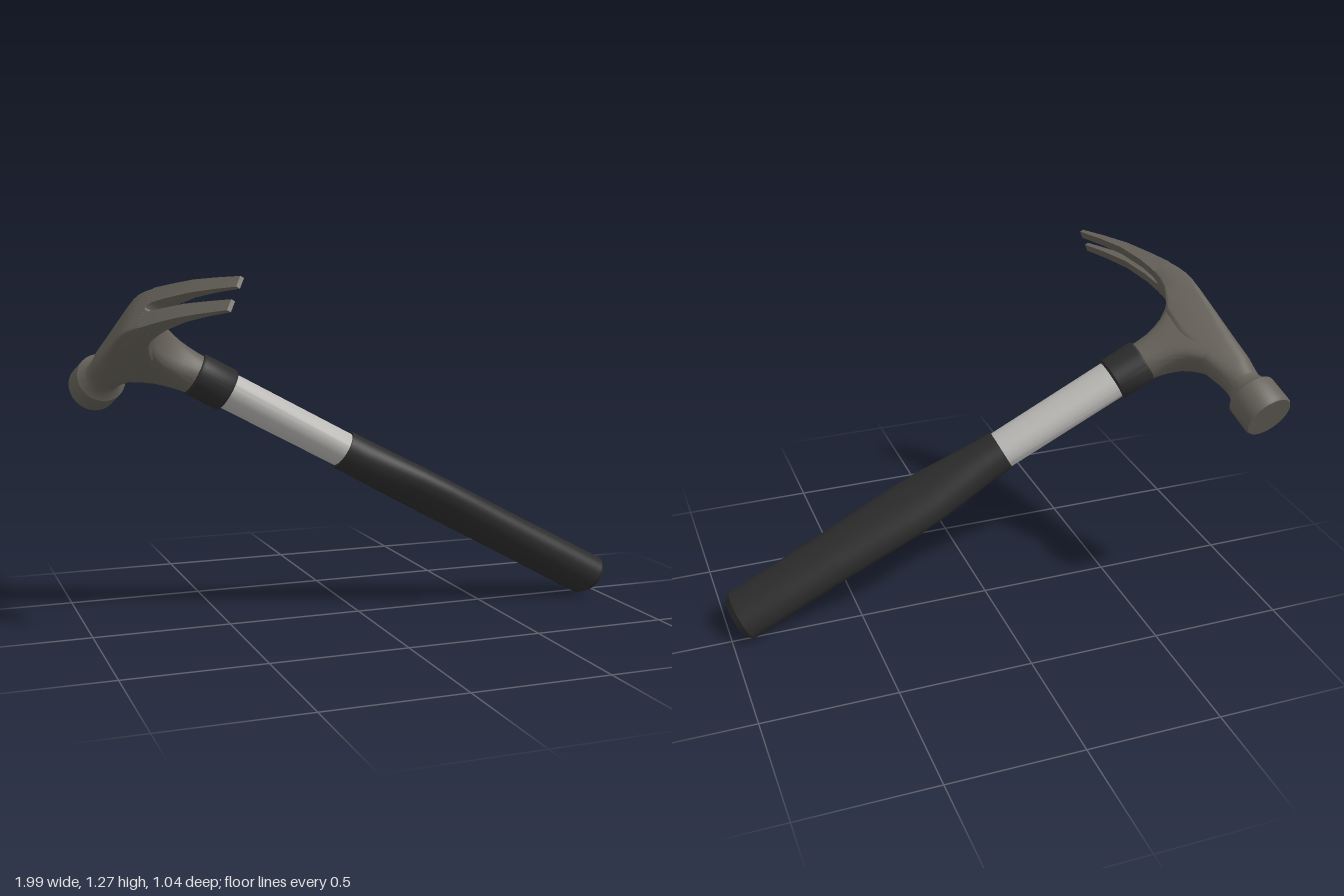
import * as THREE from 'three';
import { toCreasedNormals } from 'three/addons/utils/BufferGeometryUtils.js';

// Skin a list of equal-length closed rings and cap both ends
function loft(rings) {
  const n = rings[0].length, pos = [], index = [];
  for (const r of rings) for (const p of r) pos.push(...p);
  for (let i = 0; i < rings.length - 1; i++) {
    for (let j = 0; j < n; j++) {
      const a = i * n + j, b = i * n + (j + 1) % n;
      index.push(a, b, a + n, b, b + n, a + n);
    }
  }
  const last = (rings.length - 1) * n;
  for (let j = 1; j < n - 1; j++) {
    index.push(0, j + 1, j, last, last + j, last + j + 1);
  }
  // Turn the faces outward if the signed volume is negative
  let volume = 0;
  const v = (k) => new THREE.Vector3().fromArray(pos, k * 3);
  for (let k = 0; k < index.length; k += 3) {
    volume += v(index[k]).dot(v(index[k + 1]).cross(v(index[k + 2])));
  }
  if (volume < 0) index.reverse();
  const g = new THREE.BufferGeometry();
  g.setAttribute('position', new THREE.Float32BufferAttribute(pos, 3));
  g.setIndex(index);
  return toCreasedNormals(g, 0.6);
}

// Superellipse outline: power 2 is an ellipse, higher is boxier
function outline(a, b, power, count = 40) {
  const f = (c) => Math.sign(c) * Math.pow(Math.abs(c), 2 / power);
  return Array.from({ length: count }, (_, i) => {
    const t = (i / count) * Math.PI * 2;
    return [a * f(Math.cos(t)), b * f(Math.sin(t))];
  });
}

// Rings stacked along the handle: [y, xMin, xMax, halfWidth, power]
const alongHandle = (rows) => loft(rows.map(([y, x0, x1, w, p = 2]) =>
  outline((x1 - x0) / 2, w, p).map(([x, z]) => [x + (x0 + x1) / 2, y, z])));

// Rings stacked along the head: [x, yMin, yMax, halfWidth, power]
const alongHead = (rows) => loft(rows.map(([x, y0, y1, w, p = 2]) =>
  outline((y1 - y0) / 2, w, p).map(([y, z]) => [x, y + (y0 + y1) / 2, z])));

const oval = (y, a, b) => [y, -a, a, b];
const round = (x, r) => [x, 0.309 - r, 0.309 + r, r];

export function createModel() {
  const steel = new THREE.MeshStandardMaterial({ name: 'dark steel', color: 0x66625a });
  const chrome = new THREE.MeshStandardMaterial({ name: 'bright shaft metal', color: 0xb9b8b5 });
  const rubber = new THREE.MeshStandardMaterial({ name: 'black rubber', color: 0x2c2c2c });

  const model = new THREE.Group();
  model.name = 'hammer';
  const add = (name, geometry, material) => {
    const mesh = new THREE.Mesh(geometry, material);
    mesh.name = name;
    model.add(mesh);
  };

  // Handle: grip with a swell and chamfered butt, bare shaft, collar
  add('grip', alongHandle([
    oval(-1.73, 0.082, 0.058), oval(-1.705, 0.105, 0.076), oval(-1.5, 0.104, 0.075),
    oval(-1.3, 0.105, 0.072), oval(-1.1, 0.111, 0.069), oval(-0.98, 0.113, 0.068),
    oval(-0.86, 0.108, 0.069), oval(-0.72, 0.092, 0.072), oval(-0.63, 0.083, 0.073),
    oval(-0.555, 0.079, 0.073),
  ]), rubber);
  add('shaft', alongHandle([oval(-0.6, 0.075, 0.063), oval(0, 0.077, 0.064)]), chrome);
  add('collar', alongHandle([
    oval(-0.068, 0.08, 0.072), oval(-0.06, 0.085, 0.078),
    oval(0.06, 0.085, 0.078), oval(0.068, 0.08, 0.072),
  ]), rubber);

  // Throat flaring from the collar into the head
  add('throat', alongHandle([
    [0.05, -0.078, 0.072, 0.07, 2], [0.09, -0.083, 0.067, 0.07, 2.4],
    [0.13, -0.093, 0.066, 0.071, 3], [0.17, -0.11, 0.073, 0.073, 3.5],
    [0.205, -0.138, 0.085, 0.076, 4], [0.24, -0.18, 0.107, 0.077, 4.5],
    [0.27, -0.21, 0.137, 0.078, 5], [0.3, -0.23, 0.2, 0.078, 5],
  ]), steel);

  // Head block, rounded at the neck and square at the claw
  add('headBlock', alongHead([
    [-0.315, 0.245, 0.373, 0.064, 2], [-0.285, 0.245, 0.376, 0.066, 2.3],
    [-0.245, 0.243, 0.381, 0.07, 3], [-0.15, 0.225, 0.383, 0.076, 4],
    [-0.03, 0.22, 0.386, 0.082, 7], [0.08, 0.238, 0.389, 0.086, 12],
    [0.13, 0.266, 0.389, 0.087, 14], [0.17, 0.286, 0.385, 0.087, 16],
    [0.21, 0.292, 0.375, 0.086, 18], [0.25, 0.292, 0.36, 0.085, 20],
  ]), steel);

  // Striking end: flared neck and round face
  add('strikingFace', alongHead([
    round(-0.3, 0.064), round(-0.322, 0.065), round(-0.34, 0.072), round(-0.362, 0.093),
    round(-0.466, 0.094), round(-0.474, 0.089),
  ]), steel);

  // Claw prongs either side of the slot: [x, yMin, yMax, inner, outer]
  const prong = [
    [0.249, 0.292, 0.36, 0, 0.085], [0.256, 0.291, 0.358, 0.011, 0.0845],
    [0.272, 0.29, 0.351, 0.019, 0.084], [0.33, 0.28, 0.327, 0.021, 0.081],
    [0.43, 0.25, 0.281, 0.022, 0.077], [0.52, 0.207, 0.228, 0.024, 0.072],
    [0.598, 0.164, 0.178, 0.025, 0.068],
  ];
  for (const [name, s] of [['clawProngA', 1], ['clawProngB', -1]]) {
    add(name, loft(prong.map(([x, y0, y1, i, o]) =>
      [[x, y0, s * i], [x, y0, s * o], [x, y1, s * o], [x, y1, s * i]])), steel);
  }

  // Lay the hammer at rest: local x runs to the claw, local y up the handle
  const up = new THREE.Vector3(-0.877, 0.477, -0.053).normalize();
  const claw = new THREE.Vector3(0.173, 0.4165, 0.8926);
  claw.addScaledVector(up, -claw.dot(up)).normalize();
  const side = new THREE.Vector3().crossVectors(claw, up);
  model.quaternion.setFromRotationMatrix(new THREE.Matrix4().makeBasis(claw, up, side));
  model.position.set(-0.548, 0.892, -0.039);

  const root = new THREE.Group();
  root.name = 'restingHammer';
  root.add(model);
  return root;
}
